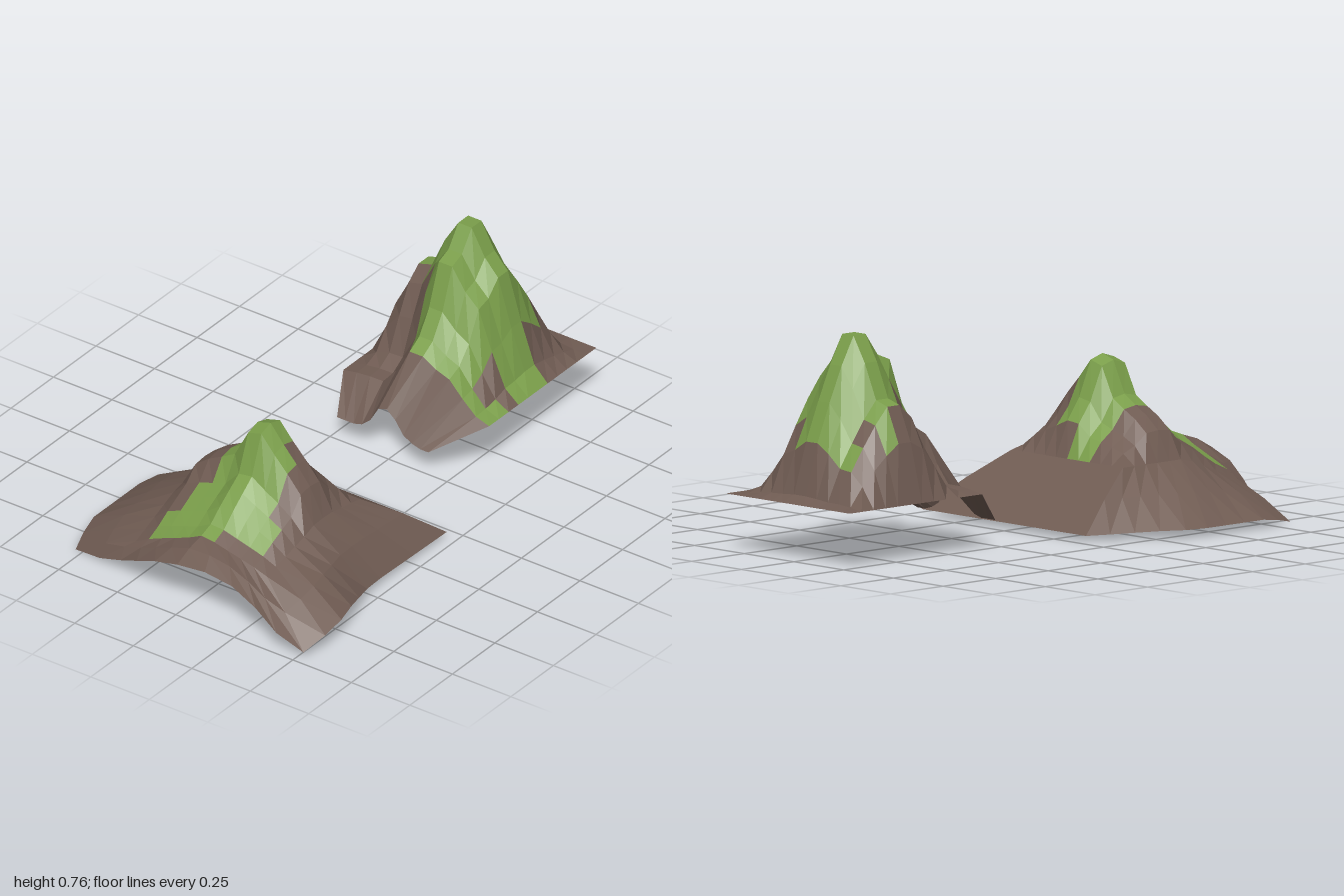
import * as THREE from 'three';

const clamp = THREE.MathUtils.clamp;
const V = (x, y, z) => new THREE.Vector3(x, y, z);

// Collects upward-facing quads by colour and turns them into meshes
class Terrain {
  constructor() { this.tris = { grass: [], earth: [] }; }

  // Corners run back-left, front-left, front-right, back-right
  quad(kind, a, b, c, d) {
    for (const p of [a, b, c, a, c, d]) this.tris[kind].push(p.x, p.y, p.z);
  }

  // Quads over rows of points; the mask marks grass cells with 'g'
  grid(rows, mask) {
    for (let j = 0; j < rows.length - 1; j++)
      for (let i = 0; i < rows[j].length - 1; i++)
        this.quad(mask && mask[j][i] === 'g' ? 'grass' : 'earth',
          rows[j][i], rows[j + 1][i], rows[j + 1][i + 1], rows[j][i + 1]);
  }

  build(name, materials) {
    const group = new THREE.Group();
    group.name = name;
    for (const kind of ['grass', 'earth']) {
      const g = new THREE.BufferGeometry();
      g.setAttribute('position', new THREE.Float32BufferAttribute(this.tris[kind], 3));
      g.computeVertexNormals();
      const mesh = new THREE.Mesh(g, materials[kind]);
      mesh.name = name + (kind === 'grass' ? 'Grass' : 'Earth');
      group.add(mesh);
    }
    return group;
  }
}

// Height field whose height is the product of a side-to-side and a front-to-back profile
function heightGrid(x0, x1, z0, z1, gx, gz, height) {
  return gz.map((v, j) => gx.map((u, i) => {
    const x = x0 + (x1 - x0) * i / (gx.length - 1);
    const z = z0 + (z1 - z0) * j / (gz.length - 1);
    return V(x, height(x, z, u * v), z);
  }));
}

// Evenly spaced points along a polyline
function along(keys, n) {
  const path = new THREE.CurvePath();
  for (let i = 0; i < keys.length - 1; i++)
    path.add(new THREE.LineCurve3(V(...keys[i]), V(...keys[i + 1])));
  return Array.from({ length: n + 1 }, (_, i) => path.getPoint(i / n));
}

// Tall steep hill at the back, with a flap hanging from its front edge
function backHill(materials) {
  const gx = [0, 0.37, 0.59, 0.62, 0.84, 1, 1, 0.82, 0.71, 0.38, 0.1, 0];
  const gz = [0, 0.04, 0.36, 0.6, 0.82, 1, 1, 0.86, 0.82, 0.54, 0.38, 0.32];
  const mask = [
    '...........',
    '...........',
    '..ggggg....',
    '...gggggg..',
    '.gggggggg..',
    '..ggggggggg',
    '...gggggggg',
    '....ggggggg',
    '....ggggg..',
    '....ggggg.g',
    '.....gggggg',
  ];
  const rows = heightGrid(-0.28, 0.343, -1, -0.37, gx, gz, (x, z, k) => {
    // hollow in the front left corner
    const hollow = clamp((z + 0.6) / 0.14, 0, 1) * clamp((0 - x) / 0.1, 0, 1);
    return 0.2 + 0.56 * k * (1 - 0.85 * hollow);
  });
  const land = new Terrain();
  land.grid(rows, mask);

  const edgeY = [0.09, 0.09, 0.09, 0.1, 0.13, 0.19, 0.2, 0.17, 0.12, 0.1, 0.09, 0.09];
  const edge = edgeY.map((y, i) => V(-0.22 + 0.39 * i / 11, y, -0.25));
  land.grid([rows[rows.length - 1], edge]);
  return land.build('backHill', materials);
}

// Broad hill at the front, with a skirt spreading to an uneven outline
function frontHill(materials) {
  const gx = [0, 0.3, 0.43, 0.52, 0.62, 0.95, 1, 0.8, 0.62, 0.42, 0.1];
  const gz = [0, 0.36, 0.58, 0.95, 1, 0.95, 0.52, 0.4, 0.28, 0.14, 0.08];
  const mask = [
    '...gg.....',
    '...gggg...',
    '...gggg...',
    '...gggg...',
    '...ggggg..',
    '...ggggg..',
    '..gggggg..',
    '..ggggggg.',
    '.gggggggg.',
    '.ggggg....',
  ];
  const rows = heightGrid(-0.28, 0.28, 0.3, 0.85, gx, gz, (x, z, k) => {
    const front = clamp((z - 0.6) / 0.25, 0, 1);
    const base = 0.22 - front * (x < 0 ? 0.1 : 0.04) * Math.abs(x) / 0.28;
    return base + (0.56 - base) * k;
  });
  const land = new Terrain();
  land.grid(rows, mask);

  // outline of the skirt, clockwise from the back left corner
  const sides = [
    [[-0.37, 0.02, 0.04], [0.46, 0.02, 0.04]],
    [[0.46, 0.02, 0.04], [0.46, 0.03, 0.49], [0.49, 0.05, 0.58], [0.54, 0.085, 0.72],
      [0.57, 0.08, 0.84], [0.52, 0.02, 0.965]],
    [[0.52, 0.02, 0.965], [0.41, 0.08, 0.99], [0.34, 0.13, 0.98], [0.2, 0.19, 0.97],
      [0.1, 0.2, 0.975], [-0.06, 0.185, 0.98], [-0.2, 0.115, 0.94], [-0.33, 0.045, 0.89],
      [-0.44, 0.005, 0.87], [-0.53, 0, 0.86]],
    [[-0.53, 0, 0.86], [-0.575, 0.03, 0.72], [-0.575, 0.03, 0.4], [-0.56, 0.03, 0.34],
      [-0.48, 0.025, 0.26], [-0.41, 0.02, 0.14], [-0.37, 0.02, 0.04]],
  ];
  const n = gx.length - 1;
  const inner = [
    rows[0],
    rows.map(r => r[n]),
    [...rows[n]].reverse(),
    rows.map(r => r[0]).reverse(),
  ];
  sides.forEach((keys, s) => {
    const outer = along(keys, n);
    const middle = outer.map((p, i) => {
      const m = p.clone().lerp(inner[s][i], 0.5);
      m.y += 0.008;
      return m;
    });
    land.grid([outer, middle, inner[s]]);
  });
  return land.build('frontHill', materials);
}

export function createModel() {
  const material = (name, color) => {
    const m = new THREE.MeshStandardMaterial({ color, flatShading: true, side: THREE.DoubleSide });
    m.name = name;
    return m;
  };
  const materials = {
    grass: material('grassGreen', 0x7a9e4a),
    earth: material('earthBrown', 0x705c53),
  };
  const model = new THREE.Group();
  model.name = 'twinHills';
  model.add(backHill(materials), frontHill(materials));
  return model;
}
